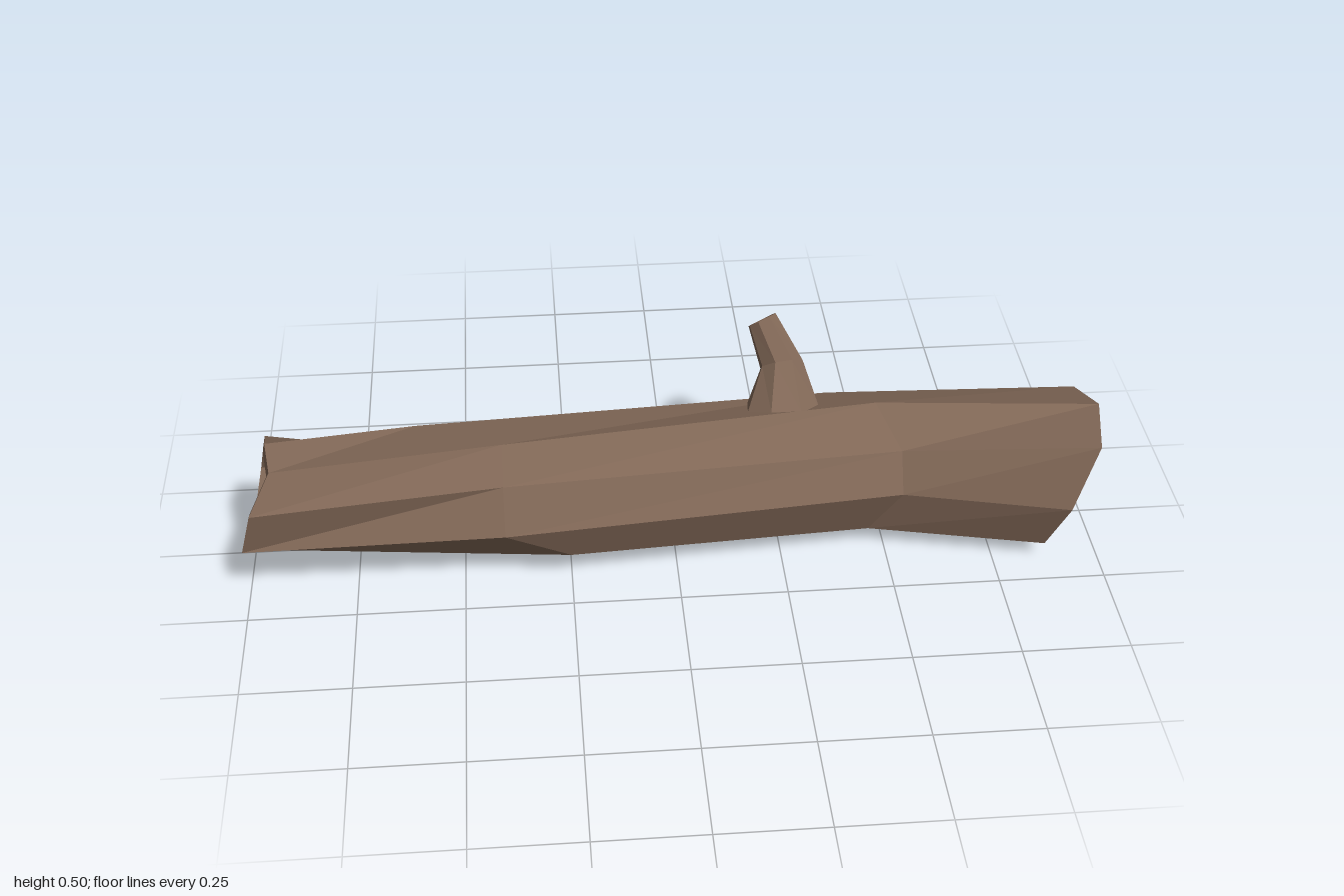
import * as THREE from 'three';

const V = (x, y, z) => new THREE.Vector3(x, y, z);

// Faceted mesh from a list of triangles
function facetMesh(points, material, name) {
  const geometry = new THREE.BufferGeometry().setFromPoints(points);
  geometry.computeVertexNormals();
  const mesh = new THREE.Mesh(geometry, material);
  mesh.name = name;
  return mesh;
}

// Skin over successive rings with equal point counts
function loft(rings, material, name) {
  const tris = [];
  for (let r = 0; r < rings.length - 1; r++) {
    const a = rings[r], b = rings[r + 1], n = a.length;
    for (let i = 0; i < n; i++) {
      const j = (i + 1) % n;
      tris.push(a[i], b[i], b[j], a[i], b[j], a[j]);
    }
  }
  return facetMesh(tris, material, name);
}

const centre = (ring) => ring.reduce((s, p) => s.add(p), V(0, 0, 0)).divideScalar(ring.length);

// Shrink a ring about its centre, then shift it
function inset(ring, scale, shift) {
  const c = centre(ring);
  return ring.map((p) => p.clone().sub(c).multiplyScalar(scale).add(c).add(shift));
}

// Fan cap; atEnd faces along the loft direction
function cap(ring, atEnd, material, name) {
  const c = centre(ring), tris = [];
  ring.forEach((p, i) => {
    const q = ring[(i + 1) % ring.length];
    tris.push(c, ...(atEnd ? [q, p] : [p, q]));
  });
  return facetMesh(tris, material, name);
}

// Regular ring around a direction
function circleRing(c, dir, radius, sides) {
  const n = dir.clone().normalize();
  const u = V(1, 0, 0).addScaledVector(n, -n.x).normalize();
  const v = n.clone().cross(u);
  return Array.from({ length: sides }, (_, i) => {
    const t = (-2 * Math.PI * (i + 0.5)) / sides;
    return c.clone().addScaledVector(u, radius * Math.cos(t)).addScaledVector(v, radius * Math.sin(t));
  });
}

export function createModel() {
  const bark = new THREE.MeshStandardMaterial({ color: 0x806756, flatShading: true });
  bark.name = 'bark brown';
  const wood = new THREE.MeshStandardMaterial({ color: 0x978e64, flatShading: true });
  wood.name = 'cut wood olive';

  const group = new THREE.Group();
  group.name = 'log';

  // Trunk sections: upper front, top, upper back, back, lower back, bottom, lower front, front
  const left = [
    V(-0.97, 0.265, 0.21), V(-0.92, 0.35, 0.16), V(-0.935, 0.363, 0.065), V(-0.95, 0.3, -0.055),
    V(-0.97, 0.2, -0.09), V(-0.99, 0.11, -0.03), V(-1.0, 0.08, 0.09), V(-1.0, 0.15, 0.19),
  ];
  const lower = [
    V(-0.4, 0.285, 0.17), V(-0.4, 0.325, 0.06), V(-0.6, 0.305, -0.06), V(-0.4, 0.18, -0.085),
    V(-0.4, 0.07, -0.04), V(-0.4, 0.02, 0.07), V(-0.25, 0.075, 0.165), V(-0.4, 0.18, 0.22),
  ];
  const upper = [
    V(0.53, 0.27, 0.085), V(0.48, 0.338, -0.02), V(0.38, 0.29, -0.14), V(0.36, 0.17, -0.19),
    V(0.38, 0.05, -0.15), V(0.42, 0.01, -0.02), V(0.46, 0.05, 0.09), V(0.53, 0.18, 0.135),
  ];
  const right = [
    V(0.97, 0.33, 0.19), V(1.0, 0.343, 0.035), V(0.98, 0.295, -0.11), V(0.95, 0.18, -0.165),
    V(0.9, 0.047, -0.11), V(0.85, 0.0, 0.03), V(0.87, 0.045, 0.175), V(0.91, 0.18, 0.225),
  ];
  const none = V(0, 0, 0);
  const leftCut = inset(left, 0.8, V(0.05, 0, 0));
  const rightCut = inset(right, 0.82, V(-0.05, 0, -0.004));
  group.add(
    loft([leftCut, inset(left, 0.82, none), left, lower, upper, right, inset(right, 0.83, none), rightCut], bark, 'trunk'),
    cap(leftCut, false, wood, 'leftCutFace'),
    cap(rightCut, true, wood, 'rightCutFace'),
  );

  // Broken side branch
  const tipDir = V(-0.4, 0.75, -0.5);
  const tip = circleRing(V(0.228, 0.472, -0.193), tipDir, 0.037, 8);
  const tipCut = inset(tip, 0.72, tipDir.clone().multiplyScalar(-0.012));
  group.add(
    loft([
      circleRing(V(0.265, 0.3, -0.065), V(0, 0.85, -0.5), 0.092, 8),
      circleRing(V(0.272, 0.372, -0.148), V(-0.1, 0.7, -0.65), 0.053, 8),
      tip, inset(tip, 0.76, none), tipCut,
    ], bark, 'branch'),
    cap(tipCut, true, wood, 'branchCutFace'),
  );
  return group;
}
